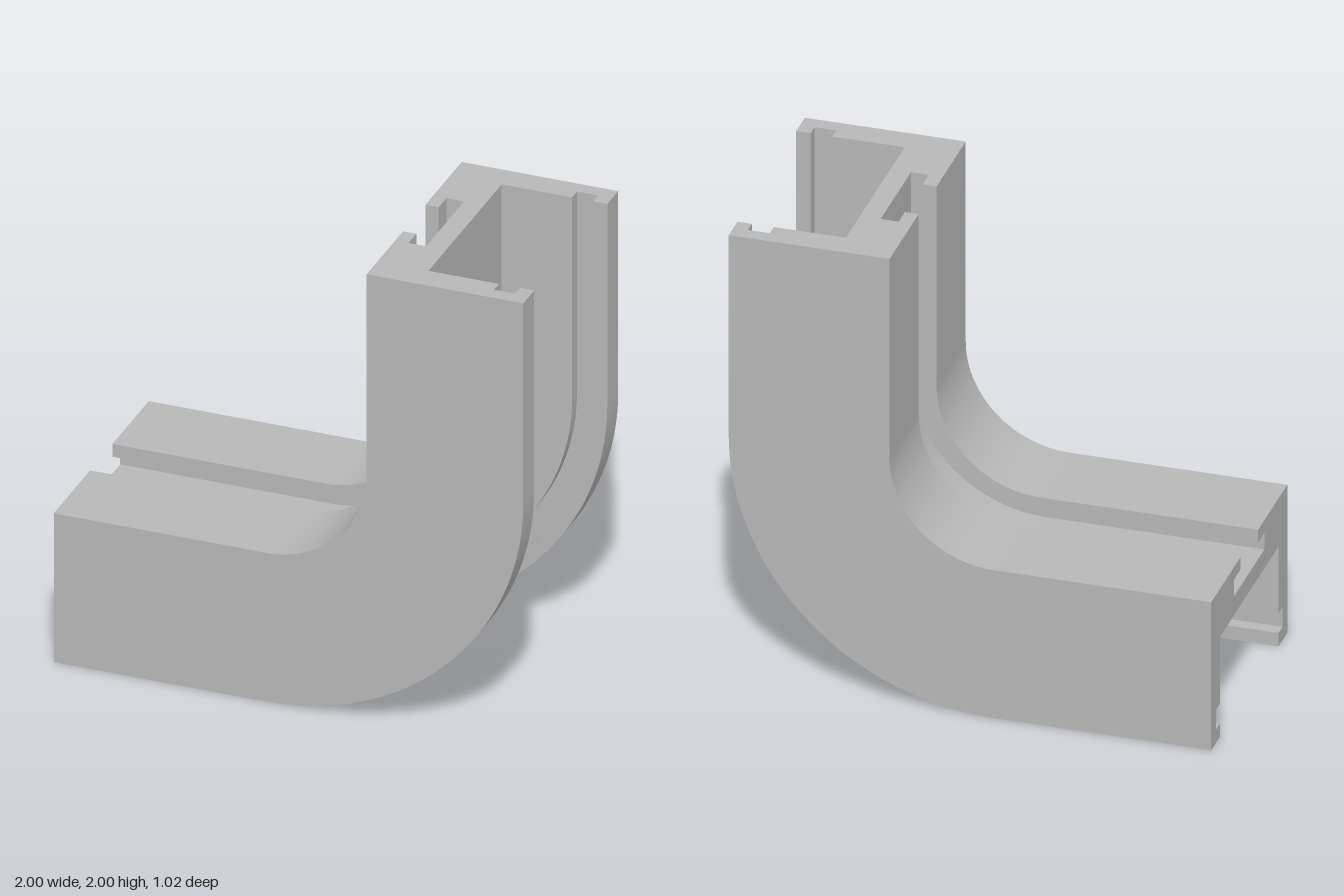
import * as THREE from 'three';

// Half of the channel section as [depth from inner face, z]; mirrored in z
const half = [
  [0.132, -0.203], [0.057, -0.203], [0.057, -0.12], [0, -0.12], // T-slot
  [0, -0.51], [0.667, -0.51], [0.667, -0.393], // outer wall
  [0.607, -0.393], [0.607, -0.446], [0.517, -0.446], [0.517, -0.393], // groove in the leg
  [0.217, -0.393], // underside of the web
];
const profile = [...half, ...half.map(([d, z]) => [d, -z]).reverse()];

const INNER_RADIUS = 0.433, CENTER_X = -0.1, CENTER_Y = 1.1, STRAIGHT = 0.9, SEGMENTS = 40;

// Stations along the path: straight run, quarter bend, straight rise
function makeStations() {
  const list = [{ angle: 0, dx: -STRAIGHT, dy: 0 }];
  for (let i = 0; i <= SEGMENTS; i++) list.push({ angle: (i / SEGMENTS) * Math.PI / 2, dx: 0, dy: 0 });
  list.push({ angle: Math.PI / 2, dx: 0, dy: STRAIGHT });
  return list;
}

function place([d, z], s) {
  const r = INNER_RADIUS + d;
  return [CENTER_X + r * Math.sin(s.angle) + s.dx, CENTER_Y - r * Math.cos(s.angle) + s.dy, z];
}

function toGeometry(positions, normals, index) {
  const g = new THREE.BufferGeometry();
  g.setAttribute('position', new THREE.Float32BufferAttribute(positions, 3));
  g.setAttribute('normal', new THREE.Float32BufferAttribute(normals, 3));
  g.setIndex(index);
  return g;
}

// Sides: one strip per section edge, smooth along the bend and sharp across edges
function sweepSides(stations) {
  const positions = [], normals = [], index = [];
  profile.forEach((a, k) => {
    const b = profile[(k + 1) % profile.length];
    const len = Math.hypot(b[0] - a[0], b[1] - a[1]);
    const nd = (b[1] - a[1]) / len, nz = -(b[0] - a[0]) / len;
    const start = positions.length / 3;
    stations.forEach((s, i) => {
      positions.push(...place(a, s), ...place(b, s));
      const n = [nd * Math.sin(s.angle), -nd * Math.cos(s.angle), nz];
      normals.push(...n, ...n);
      if (i === 0) return;
      const p = start + 2 * (i - 1);
      index.push(p, p + 2, p + 1, p + 1, p + 2, p + 3);
    });
  });
  return toGeometry(positions, normals, index);
}

// Flat section face closing one end of the sweep
function endCap(station, normal, flip) {
  const faces = THREE.ShapeUtils.triangulateShape(profile.map(([d, z]) => new THREE.Vector2(d, z)), []);
  return toGeometry(
    profile.flatMap((p) => place(p, station)),
    profile.flatMap(() => normal),
    faces.flatMap(([a, b, c]) => (flip ? [a, c, b] : [a, b, c])),
  );
}

export function createModel() {
  const group = new THREE.Group();
  group.name = 'curvedChannel';
  const grey = new THREE.MeshStandardMaterial({ color: 0xb8b8b8 });
  grey.name = 'plain grey';

  const add = (name, geometry) => {
    const mesh = new THREE.Mesh(geometry, grey);
    mesh.name = name;
    group.add(mesh);
  };

  const stations = makeStations();
  add('channelBody', sweepSides(stations));
  add('lowerEndFace', endCap(stations[0], [-1, 0, 0], false));
  add('upperEndFace', endCap(stations[stations.length - 1], [0, 1, 0], true));
  return group;
}
